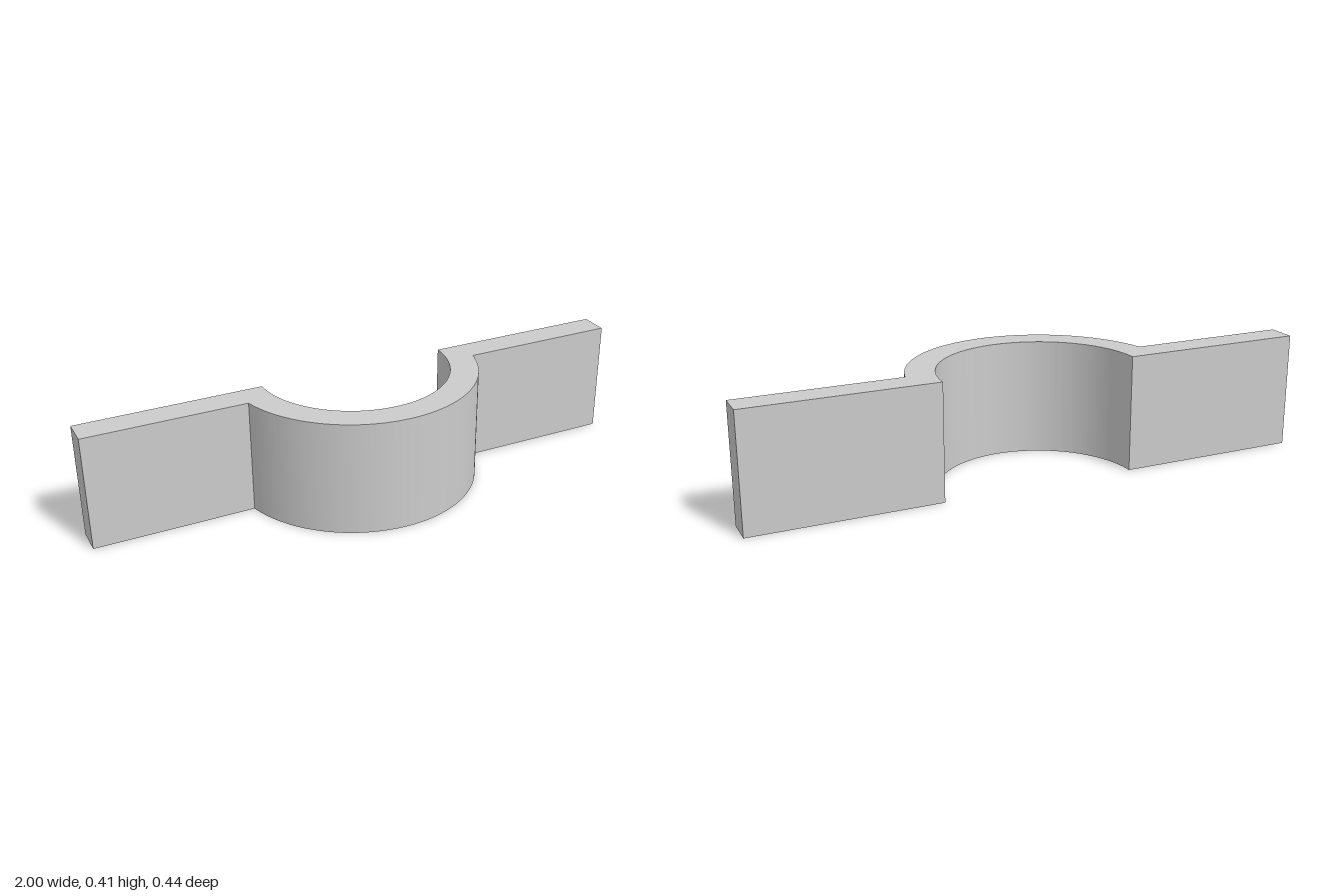
import * as THREE from 'three';
import { toCreasedNormals } from 'three/addons/utils/BufferGeometryUtils.js';

export function createModel() {
  const height = 0.408;
  const back = -0.222;      // rear plane of the flanges, also the arc centre
  const flangeFront = -0.12;
  const inner = 0.344;
  const outer = 0.444;
  const a = Math.asin((flangeFront - back) / outer); // where the outer arc meets a flange

  // Plan profile: two flat flanges joined by a half-ring saddle
  const profile = new THREE.Shape();
  profile.moveTo(-1, back);
  profile.lineTo(-inner, back);
  profile.absarc(0, back, inner, Math.PI, 0, true);
  profile.lineTo(1, back);
  profile.lineTo(1, flangeFront);
  profile.absarc(0, back, outer, a, Math.PI - a, false);
  profile.lineTo(-1, flangeFront);
  profile.closePath();

  // Extrude, then stand it up so the profile's y becomes z
  let geometry = new THREE.ExtrudeGeometry(profile, {
    depth: height, bevelEnabled: false, curveSegments: 48,
  });
  geometry.rotateX(Math.PI / 2);
  geometry.translate(0, height, 0);
  geometry = toCreasedNormals(geometry, 0.5);

  const clamp = new THREE.Mesh(geometry, new THREE.MeshStandardMaterial({ color: 0xcccccc }));
  clamp.name = 'saddleClamp';

  const group = new THREE.Group();
  group.name = 'pipeClampHalf';
  group.add(clamp);
  return group;
}
